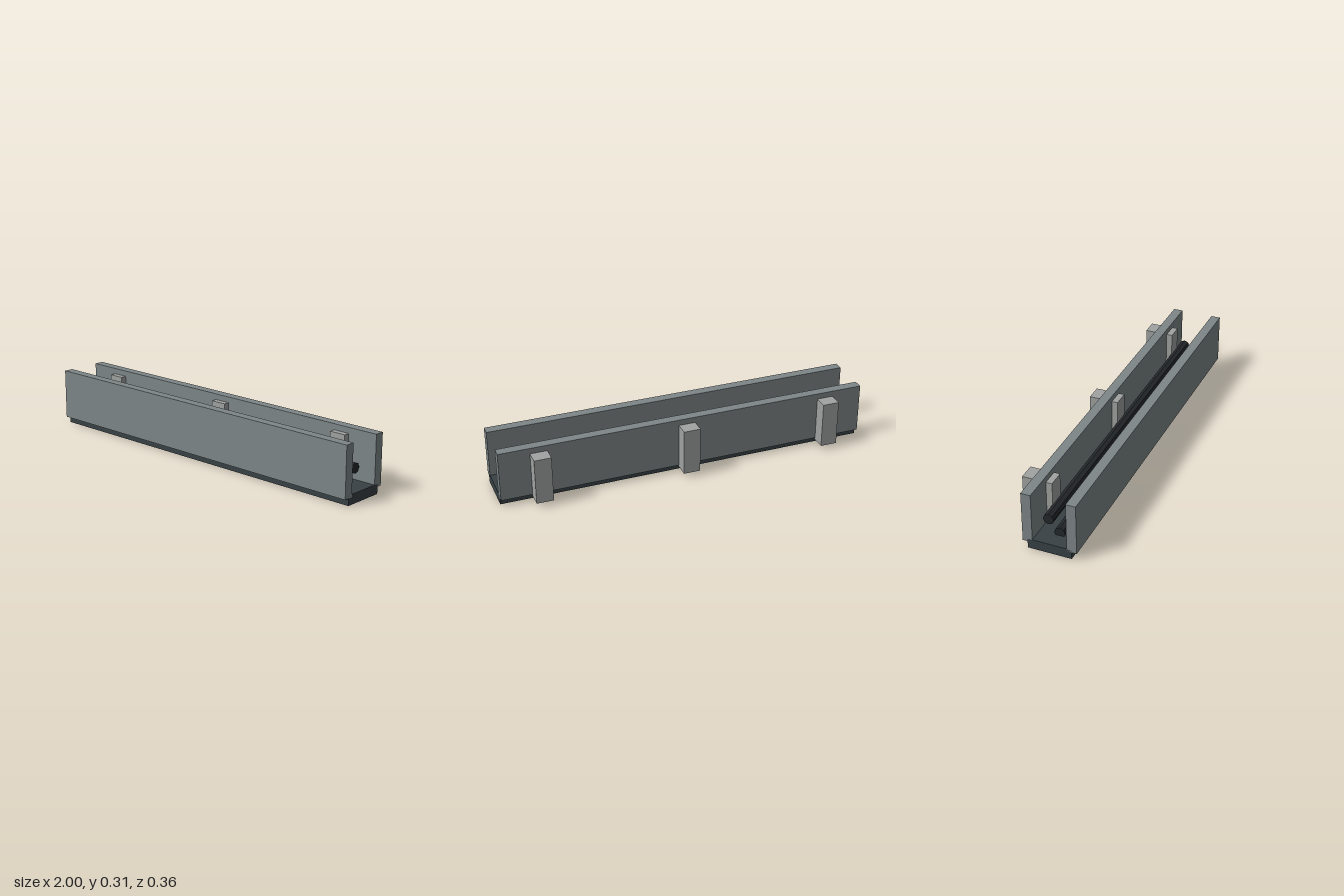
import * as THREE from 'three';

const mat = (color, flatShading = false) => new THREE.MeshStandardMaterial({ color, flatShading });

export function createModel() {
  const model = new THREE.Group();
  model.name = 'cableTrough';

  const wallMat = mat(0x7e8687);
  const floorMat = mat(0x384145);
  const bracketMat = mat(0xa0a3a1);
  const cableMat = mat(0x23272a, true);

  // Box given by its extents along each axis
  const box = (name, material, [x0, x1], [y0, y1], [z0, z1]) => {
    const mesh = new THREE.Mesh(new THREE.BoxGeometry(x1 - x0, y1 - y0, z1 - z0), material);
    mesh.position.set((x0 + x1) / 2, (y0 + y1) / 2, (z0 + z1) / 2);
    mesh.name = name;
    model.add(mesh);
  };

  // Trough floor and the two side walls
  box('floor', floorMat, [-1, 1], [0, 0.052], [-0.077, 0.152]);
  box('frontWall', wallMat, [-1, 1], [0.037, 0.308], [0.127, 0.178]);
  box('backWall', wallMat, [-1, 1], [0.037, 0.308], [-0.103, -0.052]);

  // Brackets passing through the back wall
  for (const x of [-0.791, 0, 0.791]) {
    box('bracket', bracketMat, [x - 0.045, x + 0.045], [0.027, 0.277], [-0.177, -0.02]);
  }

  // Eight-sided cables lying along the trough
  const cableGeo = new THREE.CylinderGeometry(0.0286, 0.0286, 1.84, 8).rotateZ(Math.PI / 2);
  for (const [y, z] of [[0.068, 0.054], [0.131, -0.004]]) {
    const cable = new THREE.Mesh(cableGeo, cableMat);
    cable.position.set(0, y, z);
    cable.name = 'cable';
    model.add(cable);
  }

  return model;
}
